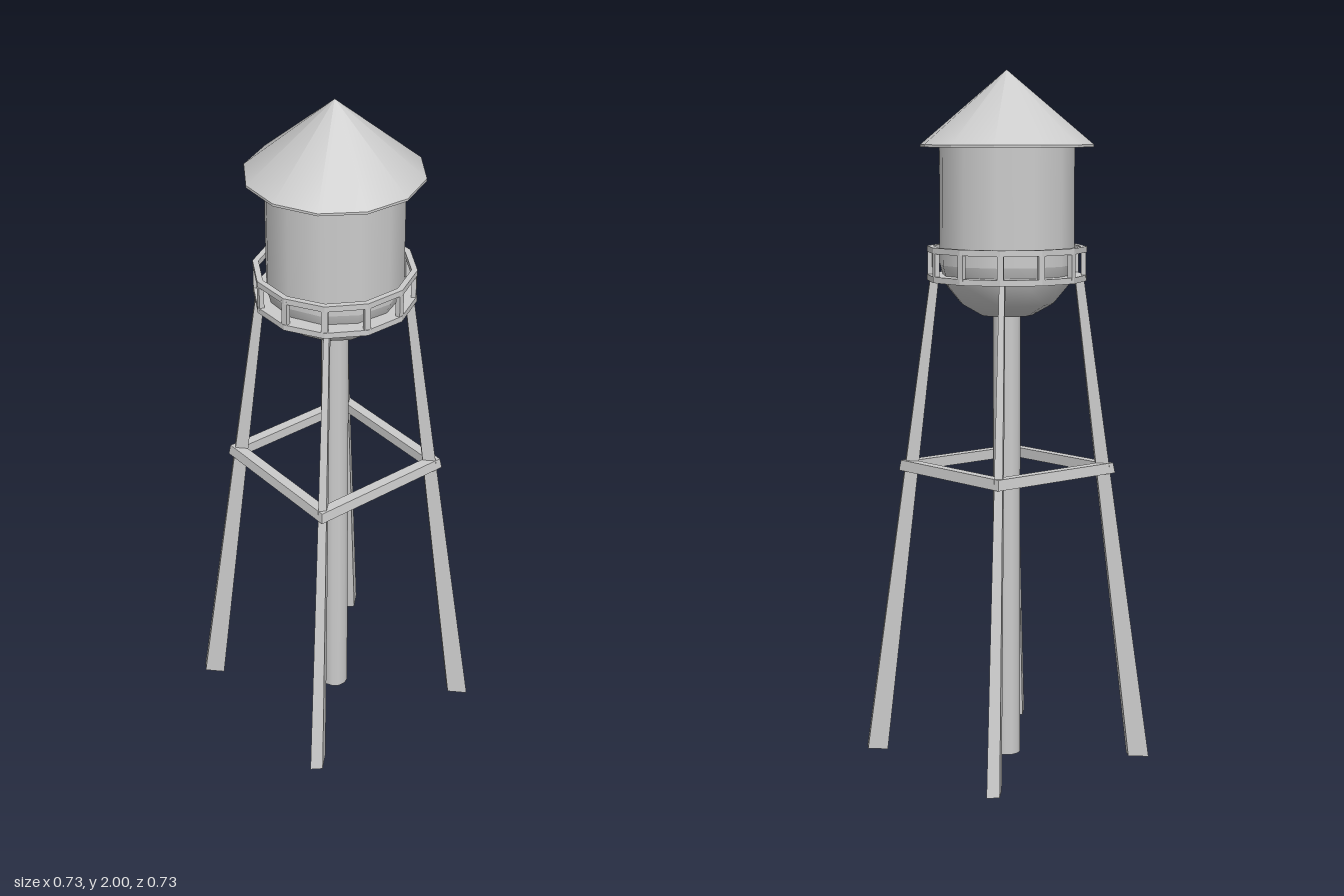
import * as THREE from 'three';

const smooth = new THREE.MeshStandardMaterial({ color: 0xcccccc });
const flat = new THREE.MeshStandardMaterial({ color: 0xcccccc, flatShading: true });
const TURN = THREE.MathUtils.degToRad(3.3); // small twist of the gallery
const SIDES = 12;

function add(parent, name, geometry, material) {
  const mesh = new THREE.Mesh(geometry, material);
  mesh.name = name;
  parent.add(mesh);
  return mesh;
}

function lathe(points, segments, phi = 0) {
  return new THREE.LatheGeometry(points.map(([r, y]) => new THREE.Vector2(r, y)), segments, phi);
}

// Closed polygonal ring; topOut lets the outer face lean in
function ring(inner, outer, y0, y1, segments, phi, topOut = outer) {
  return lathe([[inner, y0], [outer, y0], [topOut, y1], [inner, y1], [inner, y0]], segments, phi);
}

// Slanted, tapering leg with a skewed cross-section
function legGeometry() {
  const height = 1.41;
  const geometry = new THREE.BoxGeometry(1, 1, 1);
  const p = geometry.attributes.position;
  for (let i = 0; i < p.count; i++) {
    const t = p.getY(i) + 0.5;
    const scale = THREE.MathUtils.lerp(1, 0.42, t);
    const u = p.getX(i) * scale; // outward
    const v = p.getZ(i) * scale; // sideways
    p.setXYZ(i,
      THREE.MathUtils.lerp(0.327, 0.172, t) + u * 0.05 + v * 0.026,
      t * height,
      THREE.MathUtils.lerp(-0.21, -0.118, t) - u * 0.032 + v * 0.026);
  }
  geometry.computeVertexNormals();
  return geometry;
}

export function createModel() {
  const tower = new THREE.Group();
  tower.name = 'waterTower';

  // Tank wall and rounded bottom
  add(tower, 'tankWall', lathe([[0.195, 1.45], [0.195, 1.79]], SIDES), smooth);
  add(tower, 'tankBowl', lathe([
    [0, 1.3], [0.075, 1.304], [0.135, 1.338], [0.178, 1.39], [0.195, 1.45],
  ], SIDES), smooth);

  // Conical roof with a thin rim and closed underside
  add(tower, 'roof', lathe([[0.25, 1.79], [0, 2]], SIDES), smooth);
  add(tower, 'roofRim', lathe([[0, 1.783], [0.25, 1.783], [0.25, 1.79]], SIDES), flat);

  // Gallery: floor, top rail and posts
  const gallery = new THREE.Group();
  gallery.name = 'gallery';
  tower.add(gallery);
  add(gallery, 'galleryFloor', ring(0.17, 0.23, 1.403, 1.42, SIDES, TURN), flat);
  add(gallery, 'topRail', ring(0.213, 0.23, 1.485, 1.502, SIDES, TURN), flat);
  const postGeometry = new THREE.BoxGeometry(0.018, 0.08, 0.014);
  for (let i = 0; i < SIDES; i++) {
    const a = TURN + (i / SIDES) * Math.PI * 2;
    const post = add(gallery, 'railPost', postGeometry, flat);
    post.position.set(Math.sin(a) * 0.221, 1.453, Math.cos(a) * 0.221);
    post.rotation.y = a;
  }

  // Four legs
  const leg = legGeometry();
  for (let i = 0; i < 4; i++) {
    add(tower, 'leg', leg, flat).rotation.y = (i * Math.PI) / 2;
  }

  // Square brace joining the legs
  add(tower, 'brace', ring(0.268, 0.316, 0.845, 0.875, 4, THREE.MathUtils.degToRad(33.7), 0.31), flat);

  // Central riser pipe
  const pipe = add(tower, 'riserPipe', new THREE.CylinderGeometry(0.04, 0.04, 1.33, 12), smooth);
  pipe.position.y = 0.665;

  return tower;
}
